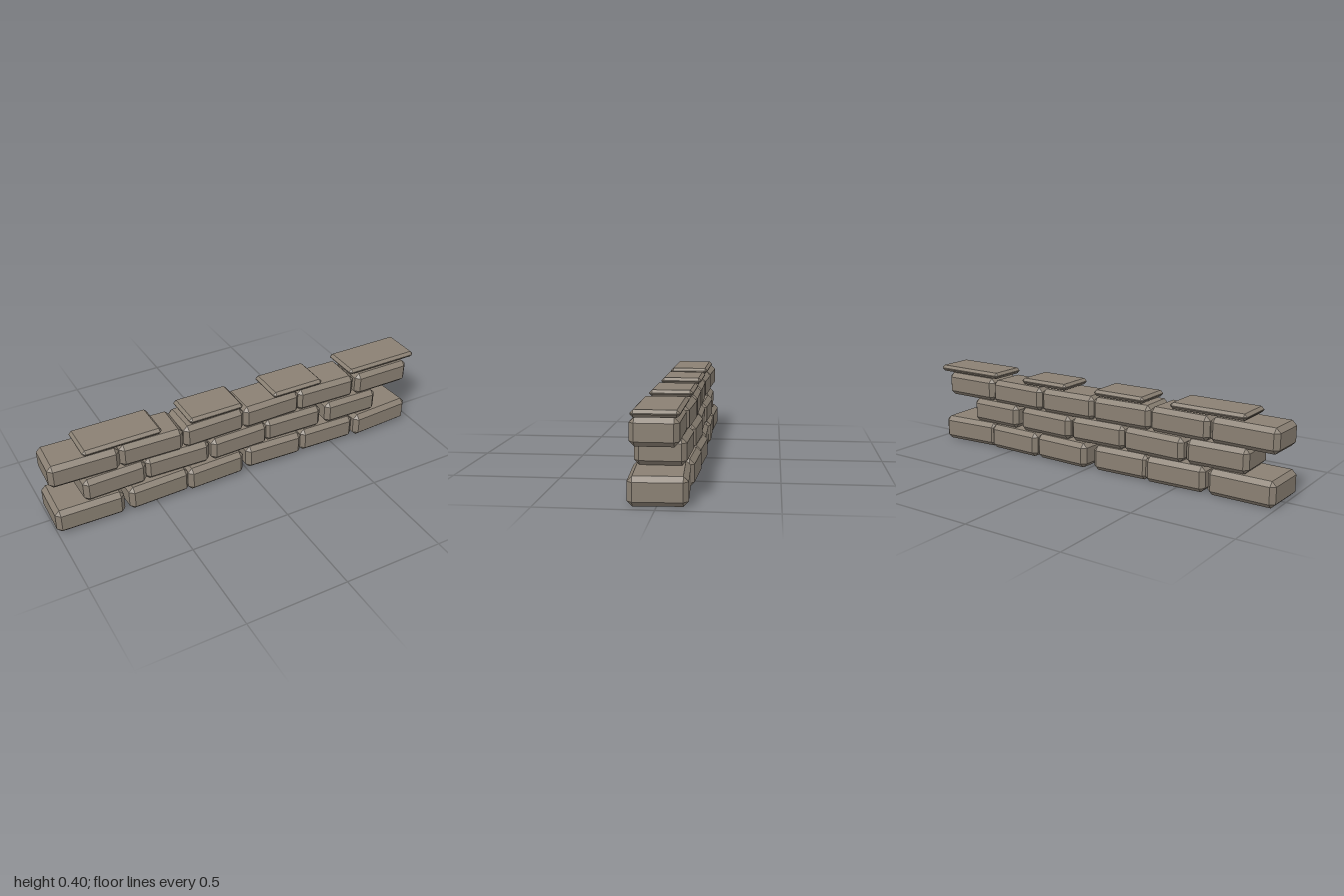
import * as THREE from 'three';
import { ConvexGeometry } from 'three/addons/geometries/ConvexGeometry.js';

// Block with every edge bevelled: each corner becomes a small triangle
function bevelledBlock(w, h, d, bevel) {
  const points = [];
  for (const sx of [-1, 1]) for (const sy of [-1, 1]) for (const sz of [-1, 1]) {
    const x = w / 2, y = h / 2, z = d / 2, b = bevel;
    points.push(
      new THREE.Vector3(sx * x, sy * (y - b), sz * (z - b)),
      new THREE.Vector3(sx * (x - b), sy * y, sz * (z - b)),
      new THREE.Vector3(sx * (x - b), sy * (y - b), sz * z),
    );
  }
  return new ConvexGeometry(points);
}

// Courses from the ground up; each stone is [left x, right x, yaw, z shift]
const courses = [
  { name: 'bottomStone', y0: 0, y1: 0.125, depth: 0.25, bevel: 0.022, stones: [
    [-1, -0.66, -0.02, 0], [-0.645, -0.325, 0.03, 0], [-0.338, -0.025, 0.03, 0.003],
    [0, 0.32, -0.04, -0.008], [0.315, 0.63, -0.03, -0.004], [0.62, 0.967, 0.06, 0.004]] },
  { name: 'middleStone', y0: 0.125, y1: 0.245, depth: 0.225, bevel: 0.022, stones: [
    [-0.855, -0.538, 0.02, 0], [-0.538, -0.2, -0.03, -0.008], [-0.2, 0.115, 0.02, 0],
    [0.11, 0.435, -0.03, -0.006], [0.46, 0.765, -0.02, 0.005]] },
  { name: 'upperStone', y0: 0.242, y1: 0.362, depth: 0.205, bevel: 0.022, stones: [
    [-1, -0.655, -0.03, -0.004], [-0.658, -0.335, -0.03, 0], [-0.338, -0.01, 0.02, 0],
    [-0.015, 0.305, 0.02, -0.004], [0.3, 0.632, -0.03, -0.003], [0.638, 0.955, 0, 0.009]] },
  { name: 'capStone', y0: 0.369, y1: 0.4, depth: 0.2, bevel: 0.0135, stones: [
    [-0.835, -0.445, 0, -0.001], [-0.303, -0.017, 0, -0.001],
    [0.153, 0.433, 0, -0.001], [0.6, 1, 0, -0.001]] },
];

export function createModel() {
  const wall = new THREE.Group();
  wall.name = 'stoneWall';
  const stone = new THREE.MeshStandardMaterial({ color: 0x8a8073 });
  stone.name = 'stone';

  for (const { name, y0, y1, depth, bevel, stones } of courses) {
    stones.forEach(([x0, x1, yaw, z], i) => {
      // A turned stone spans more in x, so shorten it to keep its extent
      const width = (x1 - x0 - depth * 0.6 * Math.abs(Math.sin(yaw))) / Math.cos(yaw);
      const mesh = new THREE.Mesh(bevelledBlock(width, y1 - y0, depth, bevel), stone);
      mesh.name = name + (i + 1);
      mesh.position.set((x0 + x1) / 2, (y0 + y1) / 2, z);
      mesh.rotation.y = yaw;
      wall.add(mesh);
    });
  }
  return wall;
}
